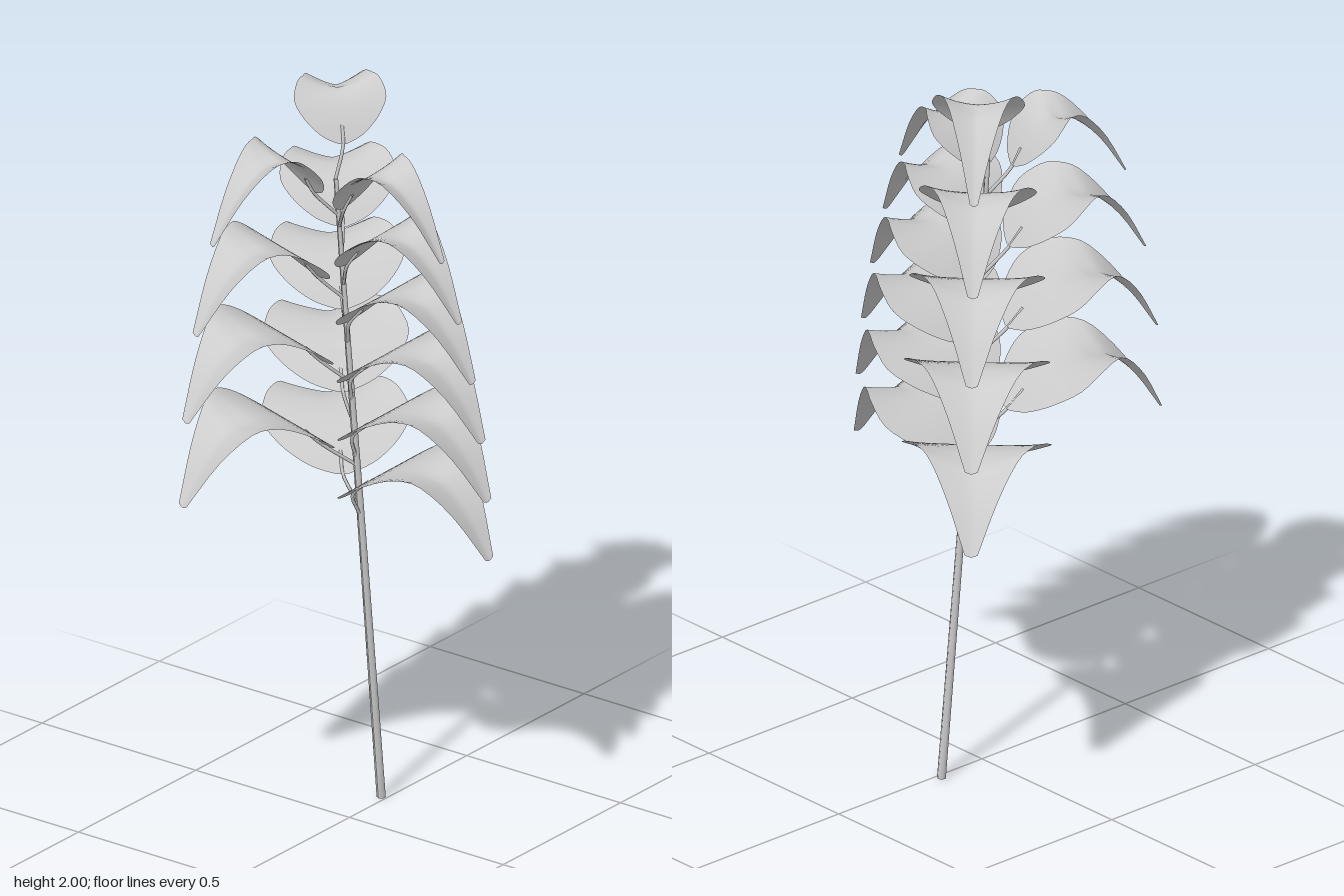
import * as THREE from 'three';

const material = new THREE.MeshStandardMaterial({ color: 0xcccccc, side: THREE.DoubleSide });

// Leaf stations: [distance along the leaf, height below the crest, half width, fold depth]
const CREST = 0.25;
const STATIONS = [
  [0.00, -0.150, 0.015, 0.000],
  [0.012, -0.139, 0.060, 0.000],
  [0.03, -0.122, 0.103, 0.000],
  [0.07, -0.088, 0.157, 0.000],
  [0.13, -0.047, 0.194, 0.004],
  [0.20, -0.010, 0.177, 0.024],
  [CREST, 0.000, 0.147, 0.038],
  [0.30, -0.018, 0.113, 0.036],
  [0.37, -0.098, 0.066, 0.022],
  [0.44, -0.220, 0.017, 0.006],
];

// Leaning stem axis
const stemCurve = new THREE.CatmullRomCurve3([
  new THREE.Vector3(-0.015, 0, -0.155),
  new THREE.Vector3(-0.035, 0.85, -0.09),
  new THREE.Vector3(-0.06, 1.3, -0.072),
  new THREE.Vector3(-0.09, 1.76, -0.06),
]);

function stemAt(y) {
  let lo = 0, hi = 1;
  for (let i = 0; i < 24; i++) {
    const mid = (lo + hi) / 2;
    if (stemCurve.getPoint(mid).y < y) lo = mid; else hi = mid;
  }
  return stemCurve.getPoint(lo);
}

// Smooth interpolation of one station column
function column(k) {
  const curve = new THREE.CatmullRomCurve3(
    STATIONS.map((s, i) => new THREE.Vector3(i, s[k], 0)), false, 'catmullrom', 0.5);
  return t => curve.getPoint(t).y;
}
const [along, height, halfWidth, fold] = [0, 1, 2, 3].map(column);

// Arched blade folded upwards along its midrib; it runs along +x from the base.
// Only the part before the crest shortens, the drooping tip keeps its length.
function bladeGeometry(inner, width) {
  const rows = 27, cols = 12, pos = [], index = [];
  for (let i = 0; i <= rows; i++) {
    const t = i / rows, r = along(t);
    const x = Math.min(r, CREST) * inner + Math.max(r - CREST, 0);
    for (let j = 0; j <= cols; j++) {
      const v = (j / cols) * 2 - 1;
      const lift = Math.pow(Math.abs(v), 1.3) - 1;
      pos.push(x, height(t) + fold(t) * lift, halfWidth(t) * width * v);
    }
  }
  for (let i = 0; i < rows; i++) {
    for (let j = 0; j < cols; j++) {
      const a = i * (cols + 1) + j, b = a + cols + 1;
      index.push(a, a + 1, b, a + 1, b + 1, b);
    }
  }
  const g = new THREE.BufferGeometry();
  g.setAttribute('position', new THREE.Float32BufferAttribute(pos, 3));
  g.setIndex(index);
  g.computeVertexNormals();
  return g;
}

function makeLeaf(base, azimuth, crestY, inner, width) {
  const leaf = new THREE.Group();
  leaf.name = 'leaf';
  const blade = new THREE.Mesh(bladeGeometry(inner, width), material);
  blade.name = 'leafBlade';
  blade.position.set(base.x, crestY, base.z);
  blade.rotation.y = -azimuth;
  leaf.add(blade);

  // Short leaf stalk climbing from the stem into the blade
  const dir = new THREE.Vector3(Math.cos(azimuth), 0, Math.sin(azimuth));
  const onLeaf = (r, y) => base.clone().addScaledVector(dir, r * inner).setY(crestY + y);
  const path = new THREE.CatmullRomCurve3([
    stemAt(crestY - 0.23), onLeaf(0, -0.154), onLeaf(0.05, -0.106),
  ]);
  const stalk = new THREE.Mesh(new THREE.TubeGeometry(path, 8, 0.005, 5), material);
  stalk.name = 'leafStalk';
  leaf.add(stalk);
  return leaf;
}

export function createModel() {
  const model = new THREE.Group();
  model.name = 'plant';

  // Tapered stem bent along its axis
  const stemGeo = new THREE.CylinderGeometry(0.006, 0.012, 1, 6, 20);
  const p = stemGeo.attributes.position;
  for (let i = 0; i < p.count; i++) {
    const c = stemCurve.getPoint(THREE.MathUtils.clamp(p.getY(i) + 0.5, 0, 1));
    p.setXYZ(i, p.getX(i) + c.x, c.y, p.getZ(i) + c.z);
  }
  stemGeo.computeVertexNormals();
  const stem = new THREE.Mesh(stemGeo, material);
  stem.name = 'stem';
  model.add(stem);

  // Three upright rows of leaves, shrinking and drifting sideways towards the top
  const rows = [
    { name: 'leftLeaves', x: -0.03, z: -0.053, driftX: 0, driftZ: 0.036, angle: -0.8,
      count: 6, crest: 1.04, step: 0.1635, size: 1, shrink: 0.5 },
    { name: 'frontLeaves', x: -0.093, z: 0, driftX: -0.022, driftZ: 0, angle: 108,
      count: 4, crest: 1.185, step: 0.234, size: 0.98, shrink: 0.47 },
    { name: 'backLeaves', x: -0.085, z: -0.085, driftX: 0, driftZ: 0, angle: 225,
      count: 5, crest: 1.068, step: 0.233, size: 1.04, shrink: 0.57 },
  ];
  for (const row of rows) {
    const group = new THREE.Group();
    group.name = row.name;
    const azimuth = THREE.MathUtils.degToRad(row.angle);
    for (let i = 0; i < row.count; i++) {
      const t = (i / (row.count - 1)) ** 2;
      const base = new THREE.Vector3(row.x + row.driftX * t, 0, row.z + row.driftZ * t);
      const inner = row.size * (1 - row.shrink * t);
      const width = 1 - 0.38 * t;
      group.add(makeLeaf(base, azimuth, row.crest + row.step * i, inner, width));
    }
    model.add(group);
  }
  return model;
}
